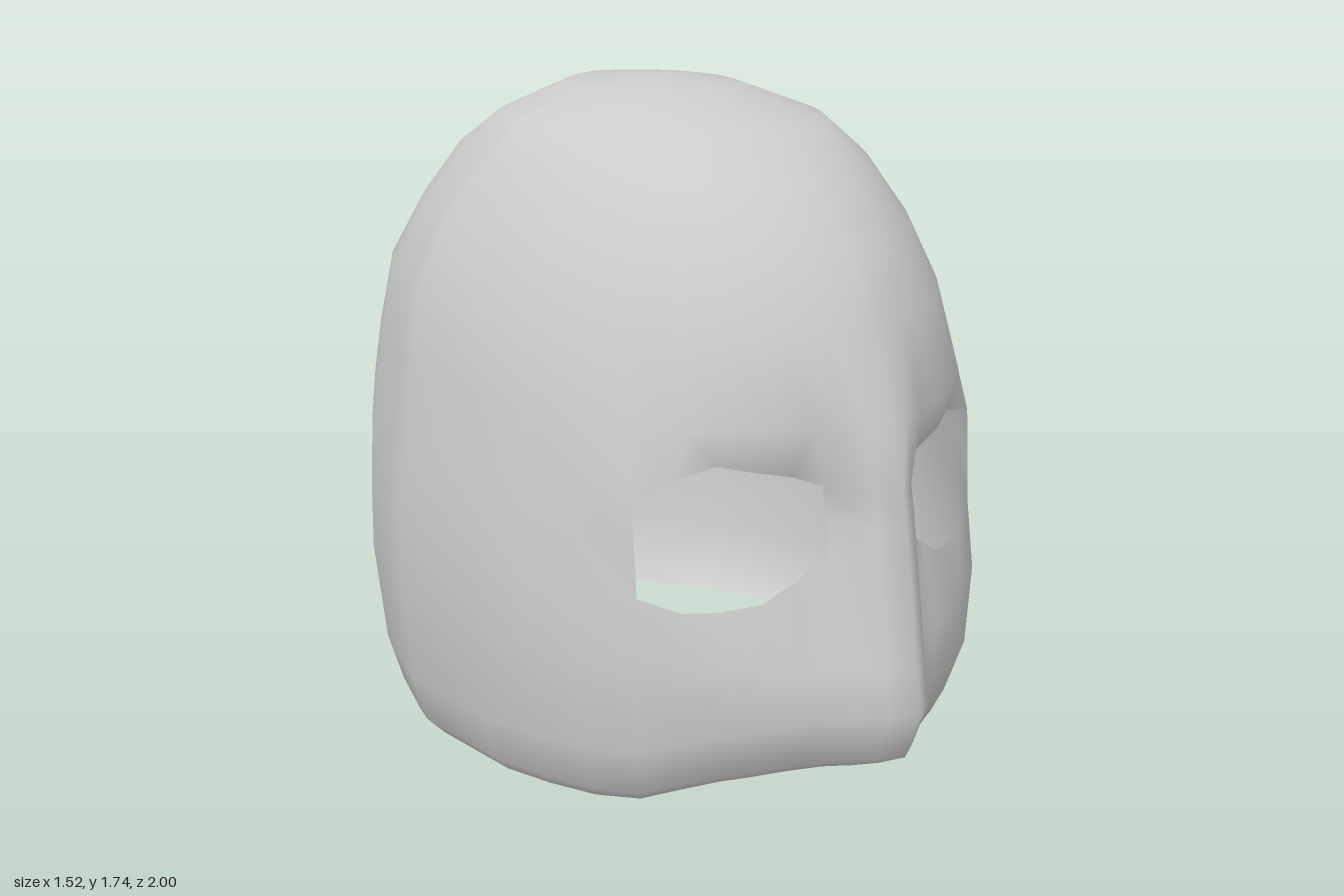
import * as THREE from 'three';

const { lerp } = THREE.MathUtils;

// piecewise-linear lookup through [position, value] pairs
function lookup(points, t) {
  if (t <= points[0][0]) return points[0][1];
  for (let i = 1; i < points.length; i++) {
    const [a, va] = points[i - 1], [b, vb] = points[i];
    if (t <= b) return va + (vb - va) * (t - a) / (b - a);
  }
  return points[points.length - 1][1];
}

// plans as fraction of half width -> fraction of depth: wedge muzzle, recessed eye band, back of the head
const MUZZLE = [[0, 1], [0.08, 0.965], [0.165, 0.915], [0.27, 0.872], [0.38, 0.828], [0.49, 0.778],
  [0.6, 0.725], [0.72, 0.66], [0.82, 0.56], [0.9, 0.43], [0.96, 0.29], [1, 0]];
const SOCKET = [[0, 1], [0.08, 0.965], [0.165, 0.866], [0.27, 0.852], [0.38, 0.825], [0.49, 0.775],
  [0.6, 0.735], [0.72, 0.685], [0.82, 0.56], [0.9, 0.43], [0.96, 0.29], [1, 0]];
const BACK = [[0, 1], [0.29, 0.925], [0.53, 0.785], [0.72, 0.645], [0.87, 0.47], [0.965, 0.15], [1, 0]];
const FRONT = MUZZLE.map(([fx]) => fx);
const BACK_STEPS = 7;

// edges of the eye opening by x, and rim height by z
const EYE_LOW = [[0.12, 0.72], [0.28, 0.615], [0.41, 0.585], [0.53, 0.64]];
const EYE_HIGH = [[0.12, 0.88], [0.2, 0.915], [0.36, 0.95], [0.53, 0.895]];
const RIM = [[-0.83, 0.078], [-0.62, 0], [0, 0.015], [0.5, 0.055], [0.62, 0.11], [0.75, 0.147], [0.86, 0.165]];

// horizontal sections: height, half width, front z, back z, socket depth s, roundness k of the front
const ROWS = [
  { rim: 0, w: 0.65, f: 0.86, b: -0.83, s: 0, k: 0 },
  { rim: 0.055, w: 0.7, f: 0.95, b: -0.88, s: 0, k: 0 },
  { rim: 0.185, w: 0.735, f: 1, b: -0.94, s: 0, k: 0 },
  { y: 0.46, w: 0.758, f: 0.98, b: -0.985, s: 0.4, k: 0 },
  { eye: 0, w: 0.75, f: 0.937, b: -1, s: 1, k: 0 },
  { eye: 0.5, w: 0.74, f: 0.924, b: -1, s: 1, k: 0 },
  { eye: 1, w: 0.72, f: 0.908, b: -1, s: 1, k: 0 },
  { y: 1.04, w: 0.7, f: 0.862, b: -0.967, s: 0, k: 0.8 },
  { y: 1.24, w: 0.665, f: 0.775, b: -0.9, s: 0, k: 0.92 },
  { y: 1.41, w: 0.58, f: 0.69, b: -0.775, s: 0, k: 1 },
  { y: 1.55, w: 0.49, f: 0.55, b: -0.67, s: 0, k: 1 },
  { y: 1.64, w: 0.4, f: 0.42, b: -0.51, s: 0, k: 1 },
  { y: 1.71, w: 0.22, f: 0.15, b: -0.36, s: 0, k: 1 },
];
const EYE_ROW = 4, EYE_COL = [2, 7];
const HALF = FRONT.length - 1 + BACK_STEPS, RING = HALF * 2;

// x and z of one column in a section; column 0 is the front ridge, HALF the back ridge
function planPoint(row, col) {
  const mid = row.y > 1.5 ? -0.1 : -0.15;
  if (col < FRONT.length) {
    const fx = FRONT[col];
    const face = lerp(lookup(MUZZLE, fx), lookup(SOCKET, fx), row.s);
    const depth = lerp(face, Math.sqrt(1 - fx * fx), row.k);
    return [fx * row.w, mid + (row.f - mid) * depth];
  }
  const fx = col === HALF ? 0 : Math.cos((col - FRONT.length + 1) / BACK_STEPS * Math.PI / 2);
  return [fx * row.w, mid + (row.b - mid) * lookup(BACK, fx)];
}

function surfacePoint(row, col) {
  let [x, z] = planPoint(row, col);
  let y = row.y;
  if (row.rim !== undefined) y = lookup(RIM, planPoint(ROWS[0], col)[1]) + row.rim;
  if (row.eye !== undefined) {
    if (col <= EYE_COL[1]) x = FRONT[col] * 0.735;
    y = lerp(lookup(EYE_LOW, x), lookup(EYE_HIGH, x), row.eye);
  }
  return [x, y, z];
}

function shellGeometry() {
  const positions = [], index = [];
  for (const row of ROWS) {
    for (let j = 0; j < RING; j++) {
      const [x, y, z] = surfacePoint(row, Math.min(j, RING - j));
      positions.push(j > HALF ? -x : x, y, z);
    }
  }
  const crown = positions.length / 3;
  positions.push(0, 1.74, -0.02);

  for (let i = 0; i < ROWS.length; i++) {
    for (let j = 0; j < RING; j++) {
      const n = (j + 1) % RING;
      const a = i * RING + j, b = i * RING + n;
      if (i === ROWS.length - 1) {
        index.push(a, b, crown);
        continue;
      }
      // leave the two eye openings empty
      const cell = Math.min(j, RING - 1 - j);
      if ((i === EYE_ROW || i === EYE_ROW + 1) && cell >= EYE_COL[0] && cell < EYE_COL[1]) continue;
      const c = b + RING, d = a + RING;
      // mirrored diagonals keep both halves alike
      if (j < HALF) index.push(a, b, c, a, c, d);
      else index.push(a, b, d, b, c, d);
    }
  }
  const geometry = new THREE.BufferGeometry();
  geometry.setAttribute('position', new THREE.Float32BufferAttribute(positions, 3));
  geometry.setIndex(index);
  geometry.computeVertexNormals();
  return geometry;
}

export function createModel() {
  const group = new THREE.Group();
  group.name = 'helmet';
  // open shell with eye openings
  const material = new THREE.MeshStandardMaterial({ color: 0xcccccc, side: THREE.DoubleSide });
  const shell = new THREE.Mesh(shellGeometry(), material);
  shell.name = 'helmetShell';
  group.add(shell);
  return group;
}
